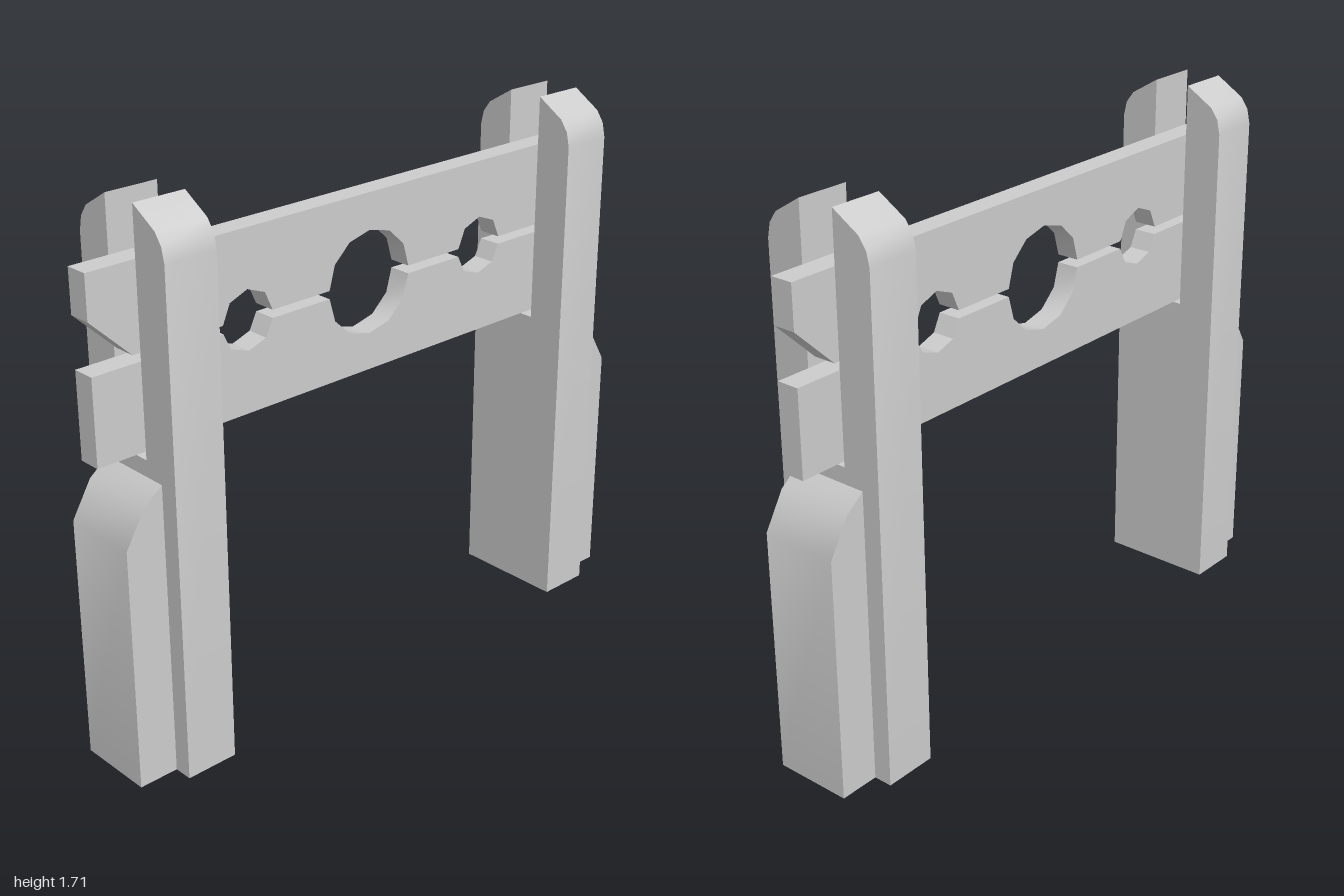
import * as THREE from 'three';
import { toCreasedNormals } from 'three/addons/utils/BufferGeometryUtils.js';

const material = new THREE.MeshStandardMaterial({ color: 0xcccccc });

function extrude(points, depth) {
  const shape = new THREE.Shape(points.map(([a, b]) => new THREE.Vector2(a, b)));
  return new THREE.ExtrudeGeometry(shape, { depth, bevelEnabled: false });
}

// Extrudes a (z, y) profile sideways between two x positions
function sideways(points, xMin, xMax) {
  return extrude(points, xMax - xMin).rotateY(-Math.PI / 2).translate(xMax, 0, 0);
}

function addMesh(parent, name, geometry) {
  const mesh = new THREE.Mesh(toCreasedNormals(geometry, 0.6), material);
  mesh.name = name;
  parent.add(mesh);
}

// Half-round cutout along a board edge, listed from -z to +z
function cutout(z, edgeY, halfWidth, height, segments) {
  return Array.from({ length: segments + 1 }, (_, i) => {
    const a = Math.PI * (1 - i / segments);
    return [z + halfWidth * Math.cos(a), edgeY + height * Math.sin(a)];
  });
}

// Neck hole flanked by two wrist holes; sign is +1 to cut upward, -1 downward
function cutouts(edgeY, sign, wristHeight) {
  return [
    ...cutout(-0.467, edgeY, 0.09, sign * wristHeight, 4),
    ...cutout(0, edgeY, 0.16, sign * 0.15, 6),
    ...cutout(0.467, edgeY, 0.09, sign * wristHeight, 4),
  ];
}

export function createModel() {
  const model = new THREE.Group();
  model.name = 'stocks';

  // Forked post with shouldered tops, and the buttress on its outer face
  const fork = [[0.06, 0.98], [0.06, 1.71], [0.15, 1.655], [0.175, 1.62], [0.185, 1.575], [0.185, 0]];
  const postProfile = [...fork, ...fork.map(([x, y]) => [-x, y]).reverse()];
  const buttressProfile = [[0.86, 0], [0.99, 0], [0.99, 0.77], [0.925, 0.88], [0.86, 0.93]];
  for (const end of ['front', 'back']) {
    const support = new THREE.Group();
    support.name = end + 'Support';
    addMesh(support, end + 'Post', extrude(postProfile, 0.17).translate(0, 0, 0.692));
    addMesh(support, end + 'Buttress', sideways(buttressProfile, -0.125, 0.125));
    if (end === 'back') support.rotation.y = Math.PI;
    model.add(support);
  }

  // Upper board with chamfered ends
  addMesh(model, 'upperBoard', sideways([
    [-1, 1.545], [-1, 1.41], [-0.865, 1.28],
    ...cutouts(1.28, 1, 0.085),
    [0.865, 1.28], [1, 1.41], [1, 1.545],
  ], -0.045, 0.028));

  // Lower board
  addMesh(model, 'lowerBoard', sideways([
    [-1, 0.988], [-1, 1.255],
    ...cutouts(1.255, -1, 0.075),
    [1, 1.255], [1, 0.988],
  ], -0.045, 0.028));

  return model;
}
